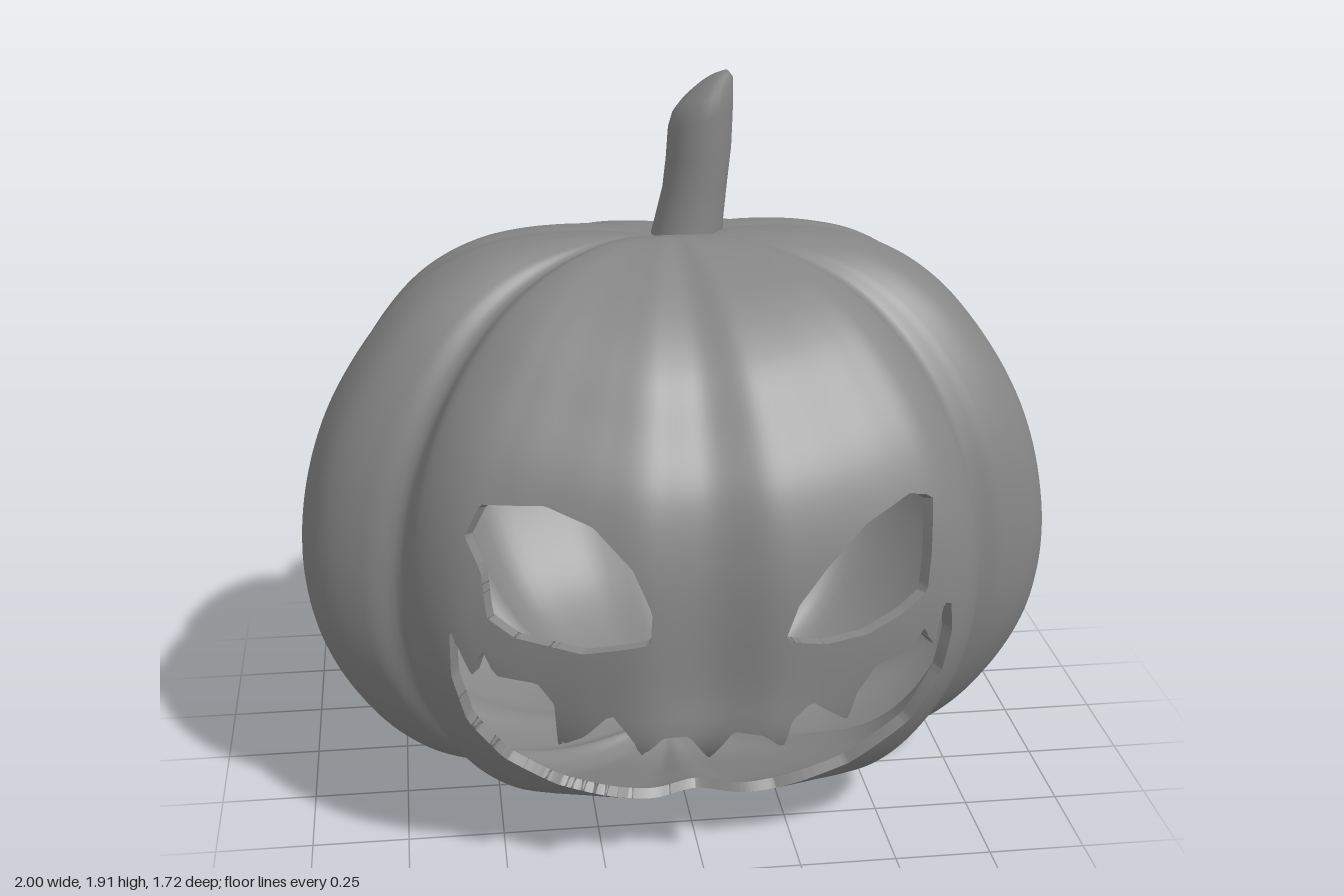
import * as THREE from 'three';
import { mergeVertices } from 'three/addons/utils/BufferGeometryUtils.js';

const V = (x, y, z) => new THREE.Vector3(x, y, z);

// Horizontal outline of the lobes, +x half from front to back: x, z
const half = [[0, .835], [.16, .862], [.28, .84], [.4, .805], [.52, .765], [.63, .71], [.72, .6],
  [.74, .48], [.83, .45], [.95, .36], [.995, .2], [.99, .08], [.94, -.05], [.945, -.17],
  [.915, -.27], [.87, -.37], [.78, -.49], [.70, -.54], [.62, -.55], [.6, -.63], [.54, -.73],
  [.4, -.805], [.22, -.86], [.1, -.855], [0, -.84]];
const ring = [...half, ...half.slice(1, -1).reverse().map(([x, z]) => [-x, z])];
const outline = new THREE.CatmullRomCurve3(ring.map(([x, z]) => V(x, 0, z)), true);
outline.arcLengthDivisions = 3000;

// Vertical profiles from top to bottom: radius factor, y
const profile = (pts) => new THREE.CatmullRomCurve3(pts.map(([r, y]) => V(r, y, 0)));
const frontProfile = profile([[0, 1.49], [.17, 1.525], [.47, 1.46], [.7, 1.33], [.83, 1.19],
  [.93, 1.06], [.985, .9], [1, .72], [.985, .55], [.92, .36], [.8, .2], [.5, .08], [.2, .005], [0, .04]]);
const backProfile = profile([[0, 1.49], [.2, 1.485], [.47, 1.4], [.7, 1.28], [.84, 1.16],
  [.93, 1.03], [.985, .88], [1, .72], [.975, .56], [.87, .38], [.7, .2], [.47, .085], [.2, .03], [0, .04]]);
const sideProfile = profile([[0, 1.49], [.2, 1.51], [.4, 1.505], [.55, 1.47], [.7, 1.38],
  [.85, 1.2], [.95, 1.0], [1, .73], [.97, .5], [.85, .28], [.7, .14], [.5, .055], [.3, .035], [0, .04]]);

// Carved openings: x, y
const openings = [
  // eye on the model's right
  [[-.54, 1.035], [-.39, 1.045], [-.28, 1.005], [-.19, .91], [-.145, .8], [-.15, .72],
    [-.31, .69], [-.47, .72], [-.535, .765], [-.545, .88], [-.58, .96]],
  // eye on the model's left
  [[.176, .71], [.21, .8], [.28, .88], [.385, .97], [.5, 1.02], [.567, 1.005], [.56, .866],
    [.55, .77], [.49, .73], [.395, .69], [.28, .685]],
  // mouth: ragged upper lip, then the smooth lower lip
  [[-.625, .72], [-.575, .60], [-.55, .68], [-.52, .61], [-.42, .60], [-.38, .545], [-.37, .415],
    [-.31, .455], [-.245, .53], [-.19, .455], [-.175, .41], [-.12, .465], [-.055, .46], [0, .375],
    [.055, .465], [.13, .455], [.18, .41], [.2, .49], [.25, .53], [.35, .45], [.37, .525],
    [.42, .6], [.51, .615], [.545, .675], [.575, .61], [.6, .72], [.62, .73],
    [.63, .64], [.61, .52], [.535, .375], [.385, .25], [.2, .18], [0, .158], [-.18, .17],
    [-.365, .24], [-.5, .335], [-.59, .455], [-.625, .59]],
];

// Signed distance to an opening, negative inside
function distanceTo(poly, x, y) {
  let best = Infinity, inside = false;
  poly.forEach(([ax, ay], k) => {
    const [bx, by] = poly[(k + 1) % poly.length];
    const ex = bx - ax, ey = by - ay;
    const t = Math.min(1, Math.max(0, ((x - ax) * ex + (y - ay) * ey) / (ex * ex + ey * ey)));
    best = Math.min(best, Math.hypot(x - ax - ex * t, y - ay - ey * t));
    if ((ay > y) !== (by > y) && x < ax + ex * (y - ay) / ey) inside = !inside;
  });
  return inside ? -best : best;
}
const carve = (p) => p.z < .2 ? 1 : Math.min(...openings.map((o) => distanceTo(o, p.x, p.y)));

function makeGeometry(points) {
  let geo = new THREE.BufferGeometry().setFromPoints(points);
  geo = mergeVertices(geo, 1e-5);
  geo.computeVertexNormals();
  return geo;
}

// One point of the skin: the profiles are blended around the outline,
// and the grooves fade out towards the top and the bottom
function skinPoint(c, front, back, side) {
  const radius = Math.hypot(c.x, c.z), w = (c.x / radius) ** 2;
  const p = (c.z > 0 ? front : back).clone().lerp(side, w);
  const smooth = .9 + .08 * w;
  const fade = THREE.MathUtils.smoothstep(p.x, 0, p.y > .75 ? .5 : .3);
  const grooved = THREE.MathUtils.lerp(smooth, radius, fade);
  const lift = 1 + .3 * (grooved / smooth - 1);
  const scale = p.x * grooved / radius;
  const o = V(c.x * scale, .75 + (p.y - .75) * lift, c.z * scale);
  // upper lip stands forward
  if (o.z > 0) o.z += .045 * Math.exp(-(((o.y - .42) / .12) ** 2) - (o.x / .35) ** 2);
  return o;
}

// Hollow shell: a lobed grid clipped along the openings, with inner wall and cut edges
function buildShell() {
  const ROWS = 130, FRONT = 62, BACK = 50, SPLIT = .17, WALL = .968;
  const us = [];
  for (let k = -FRONT - BACK; k <= FRONT + BACK; k++) {
    const a = Math.abs(k);
    const u = a <= FRONT ? SPLIT * a / FRONT : SPLIT + (.5 - SPLIT) * (a - FRONT) / BACK;
    us.push(Math.sign(k) * u);
  }
  const [fronts, backs, sides] = [frontProfile, backProfile, sideProfile].map((c) => c.getPoints(ROWS));
  const grid = us.map((u) => {
    const c = outline.getPointAt((u + 1) % 1);
    return fronts.map((f, j) => {
      const o = skinPoint(c, f, backs[j], sides[j]);
      const i = V(o.x * WALL, .75 + (o.y - .75) * WALL, o.z * WALL);
      return { o, i, d: carve(o) };
    });
  });

  const outer = [], inner = [], rim = [];
  const addTriangle = (tri) => {
    const kept = [], cut = [];
    tri.forEach((a, k) => {
      const b = tri[(k + 1) % 3];
      if (a.d >= 0) kept.push(a);
      if ((a.d >= 0) !== (b.d >= 0)) {
        const t = a.d / (a.d - b.d);
        const m = { o: a.o.clone().lerp(b.o, t), i: a.i.clone().lerp(b.i, t) };
        kept.push(m);
        cut.push(m);
      }
    });
    for (let k = 1; k + 1 < kept.length; k++) {
      const [a, b, c] = [kept[0], kept[k], kept[k + 1]];
      outer.push(a.o, b.o, c.o);
      inner.push(a.i, c.i, b.i);
    }
    if (cut.length === 2) {
      const [a, b] = cut;
      rim.push(a.o, a.i, b.i, a.o, b.i, b.o);
    }
  };
  for (let k = 0; k + 1 < grid.length; k++) {
    for (let j = 0; j < ROWS; j++) {
      const a = grid[k][j], b = grid[k][j + 1], c = grid[k + 1][j + 1], d = grid[k + 1][j];
      if (j < ROWS - 1) addTriangle([a, b, c]);
      else addTriangle([a, b, d]);
      if (j > 0 && j < ROWS - 1) addTriangle([a, c, d]);
    }
  }
  return { pumpkinSkin: outer, innerWall: inner, carvedEdges: rim };
}

// Bent stem with a slanted, rounded end: centre x, y, radius, slope
function buildStem() {
  const rings = [[.045, 1.46, .1, 0], [.055, 1.53, .091, 0], [.07, 1.62, .085, .05],
    [.08, 1.71, .086, .2], [.085, 1.81, .085, .4], [.09, 1.86, .079, .6],
    [.093, 1.88, .064, .68], [.094, 1.89, .04, .7], [.094, 1.893, 0, 0]];
  const N = 28, pts = [];
  const at = ([cx, y, r, slope], k) => {
    const a = k / N * Math.PI * 2, dx = Math.sin(a) * r;
    return V(cx + dx, y + dx * slope, -.01 + Math.cos(a) * r);
  };
  for (let j = 0; j + 1 < rings.length; j++) {
    for (let k = 0; k < N; k++) {
      const a = at(rings[j], k), b = at(rings[j], (k + 1) % N);
      const c = at(rings[j + 1], (k + 1) % N), d = at(rings[j + 1], k);
      pts.push(a, b, c);
      if (j < rings.length - 2) pts.push(a, c, d);
    }
  }
  return pts;
}

export function createModel() {
  const group = new THREE.Group();
  group.name = 'carvedPumpkin';
  const material = new THREE.MeshStandardMaterial({ color: 0x858585, side: THREE.DoubleSide });
  for (const [name, points] of Object.entries({ ...buildShell(), stem: buildStem() })) {
    const mesh = new THREE.Mesh(makeGeometry(points), material);
    mesh.name = name;
    group.add(mesh);
  }
  return group;
}
